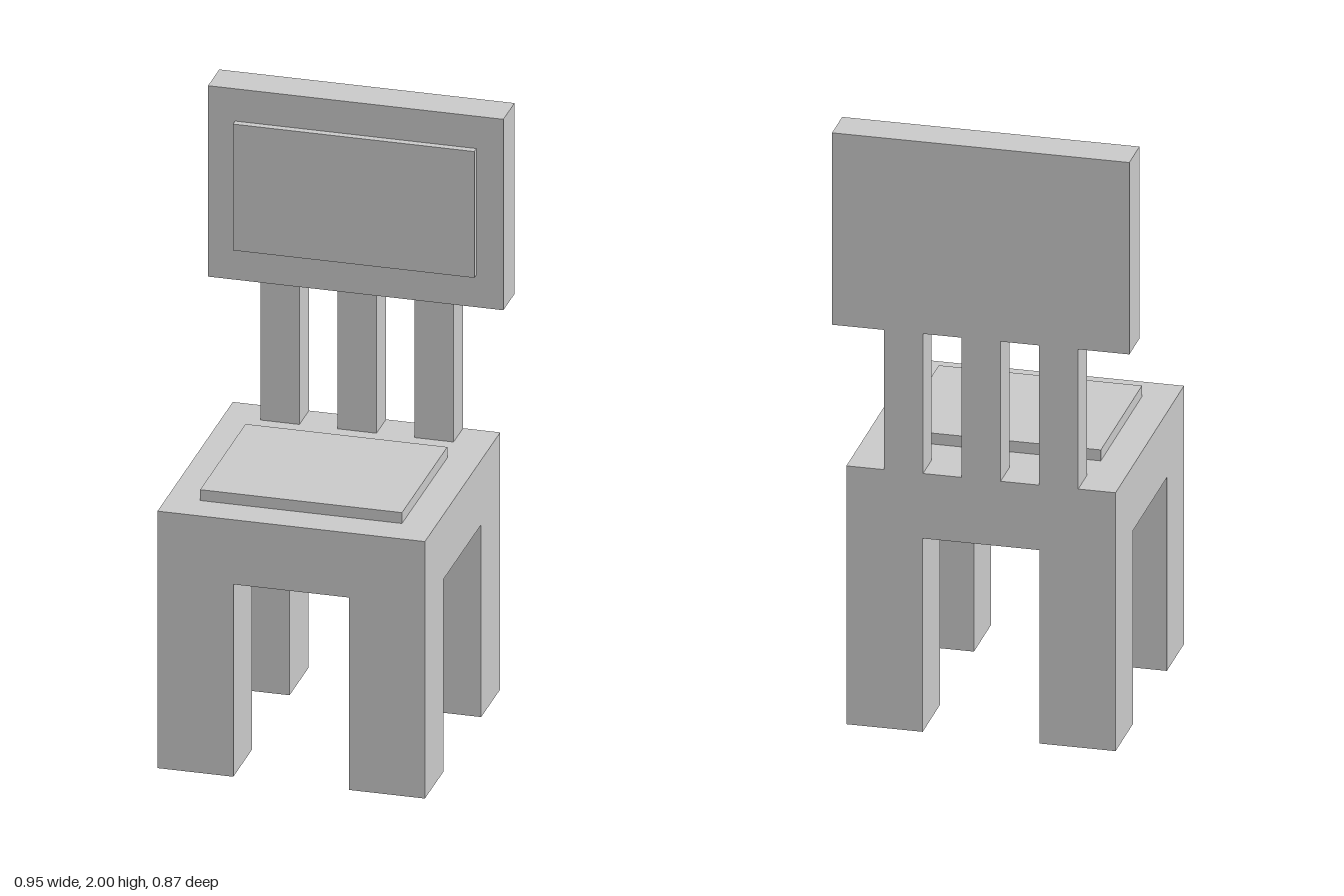
import * as THREE from 'three';

const material = new THREE.MeshStandardMaterial({ color: 0xcccccc, flatShading: true });

// Box given by its lower and upper bounds on each axis
function block(name, [x0, x1], [y0, y1], [z0, z1]) {
  const mesh = new THREE.Mesh(new THREE.BoxGeometry(x1 - x0, y1 - y0, z1 - z0), material);
  mesh.position.set((x0 + x1) / 2, (y0 + y1) / 2, (z0 + z1) / 2);
  mesh.name = name;
  return mesh;
}

export function createModel() {
  const chair = new THREE.Group();
  chair.name = 'chair';

  // Seat slab with a thin raised cushion
  chair.add(block('seat', [-0.432, 0.432], [0.655, 0.875], [-0.432, 0.436]));
  chair.add(block('cushion', [-0.326, 0.326], [0.875, 0.912], [-0.2, 0.322]));

  // Four thick legs, flush with the seat's corners
  for (const [side, x] of [['left', [0.187, 0.432]], ['right', [-0.432, -0.187]]]) {
    chair.add(block(`${side}FrontLeg`, x, [0, 0.655], [0.219, 0.436]));
    chair.add(block(`${side}BackLeg`, x, [0, 0.655], [-0.432, -0.212]));
  }

  // Three upright slats carrying the backrest
  for (const [name, x] of [['rightSlat', -0.249], ['middleSlat', 0], ['leftSlat', 0.249]]) {
    chair.add(block(name, [x - 0.063, x + 0.063], [0.875, 1.35], [-0.432, -0.322]));
  }

  // Backrest board with a raised pad on its front
  chair.add(block('backrest', [-0.477, 0.477], [1.35, 2], [-0.436, -0.307]));
  chair.add(block('backPad', [-0.39, 0.39], [1.46, 1.89], [-0.307, -0.283]));

  return chair;
}
